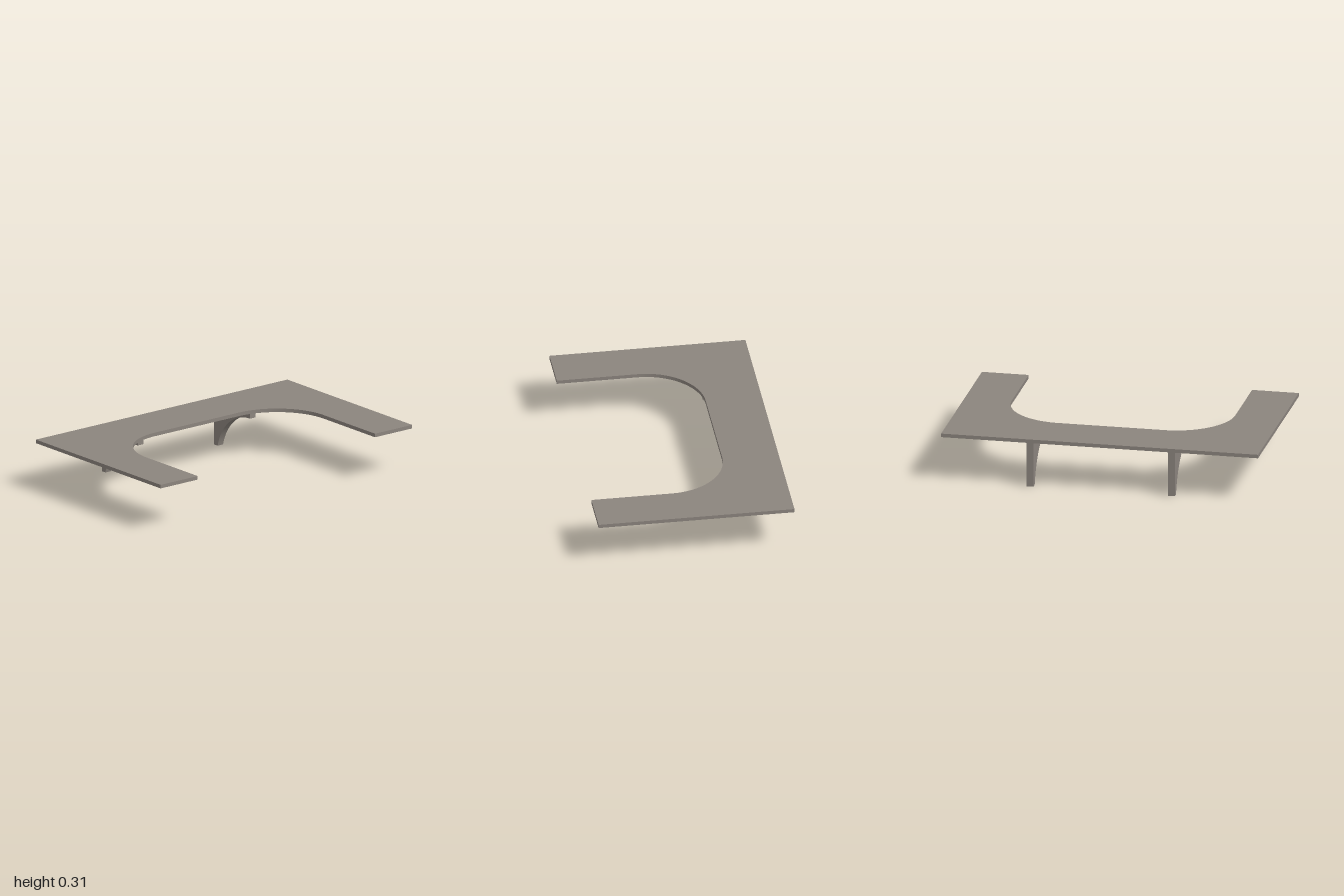
import * as THREE from 'three';

const material = new THREE.MeshStandardMaterial({ color: 0x8c857e });

const HALF_W = 1, HALF_D = 0.612;
const TOP = 0.306, UNDERSIDE = 0.283;

// U-shaped worktop with a rounded cut-out open to the front
function createWorktop() {
  const innerX = 0.705, innerY = 0.262, r = 0.37;
  const s = new THREE.Shape();
  s.moveTo(-HALF_W, -HALF_D);
  s.lineTo(-innerX, -HALF_D);
  s.lineTo(-innerX, innerY - r);
  s.absarc(-innerX + r, innerY - r, r, Math.PI, Math.PI / 2, true);
  s.absarc(innerX - r, innerY - r, r, Math.PI / 2, 0, true);
  s.lineTo(innerX, -HALF_D);
  s.lineTo(HALF_W, -HALF_D);
  s.lineTo(HALF_W, HALF_D);
  s.lineTo(-HALF_W, HALF_D);
  s.closePath();
  const geo = new THREE.ExtrudeGeometry(s, { depth: TOP - UNDERSIDE, bevelEnabled: false, curveSegments: 24 });
  geo.rotateX(-Math.PI / 2).translate(0, UNDERSIDE, 0);
  const mesh = new THREE.Mesh(geo, material);
  mesh.name = 'worktop';
  return mesh;
}

// Support bracket with a concave curved front, profile drawn in z and y
function createBracket(name, x) {
  const width = 0.044, frontZ = -0.26, r = 0.326, centerY = -0.076;
  const s = new THREE.Shape();
  s.moveTo(-HALF_D, 0);
  s.lineTo(-HALF_D, UNDERSIDE);
  s.lineTo(frontZ, UNDERSIDE);
  s.lineTo(frontZ, centerY + r);
  s.absarc(frontZ, centerY, r, Math.PI / 2, Math.PI - Math.asin(-centerY / r), false);
  s.closePath();
  const geo = new THREE.ExtrudeGeometry(s, { depth: width, bevelEnabled: false, curveSegments: 20 });
  geo.rotateY(-Math.PI / 2).translate(x + width / 2, 0, 0);
  const mesh = new THREE.Mesh(geo, material);
  mesh.name = name;
  return mesh;
}

export function createModel() {
  const group = new THREE.Group();
  group.name = 'wallDesk';
  group.add(
    createWorktop(),
    createBracket('leftBracket', 0.439),
    createBracket('rightBracket', -0.453)
  );
  return group;
}
